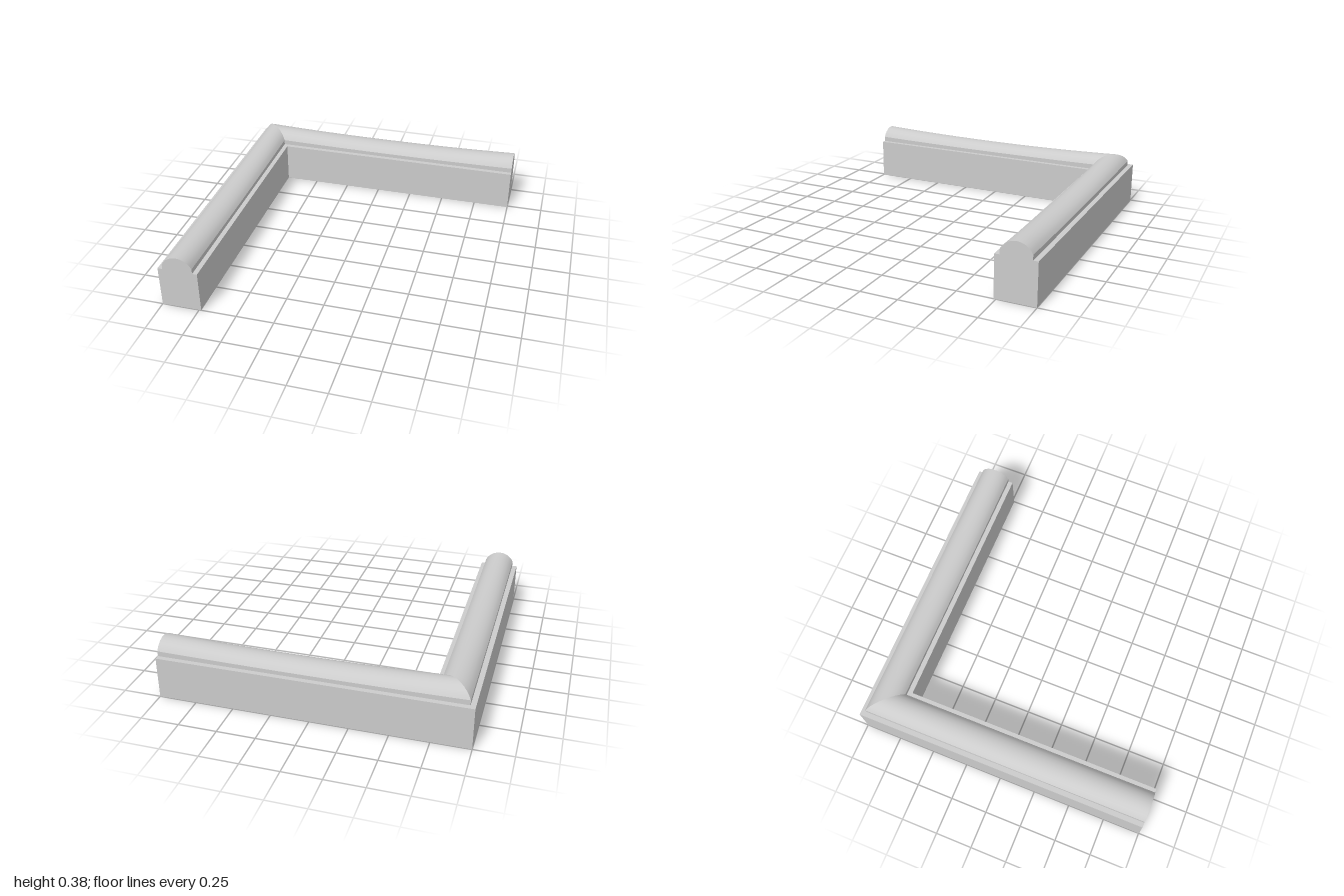
import * as THREE from 'three';
import { toCreasedNormals } from 'three/addons/utils/BufferGeometryUtils.js';

const BASE_HEIGHT = 0.28;
const INNER = -0.735;    // inner face of both base arms
const CENTRE = -0.867;   // centre line of the rounded cap
const HALF = 0.1;        // half width of the cap
const LIP = 0.034;       // upright edge below the dome
const RISE = 0.098;      // full height of the cap
const SAG = 0.22;        // share of the height lost at mid length

// Cap cross-section as [offset, height], from the outer to the inner side
function capProfile(steps = 10) {
  const h = RISE - LIP;
  const radius = (HALF * HALF + h * h) / (2 * h);
  const sweep = Math.asin(HALF / radius);
  const points = [[-HALF, 0]];
  for (let i = 0; i <= steps; i++) {
    const a = sweep * (2 * i / steps - 1);
    points.push([radius * Math.sin(a), RISE - radius + radius * Math.cos(a)]);
  }
  points.push([HALF, 0]);
  return points;
}

// One sagging cap arm, mitred at the corner; swapped = mirrored across the diagonal
function capArm(swapped) {
  const profile = capProfile();
  const n = profile.length, segments = 20;
  const positions = [], index = [];
  const tri = (a, b, c) => index.push(...(swapped ? [a, c, b] : [a, b, c]));

  for (let i = 0; i <= segments; i++) {
    const t = i / segments;
    const scale = 1 - SAG * 4 * t * (1 - t);
    for (const [offset, height] of profile) {
      const across = CENTRE + offset;
      const along = THREE.MathUtils.lerp(across, 1, t);
      const y = BASE_HEIGHT + height * scale;
      positions.push(...(swapped ? [across, y, along] : [along, y, across]));
    }
  }
  for (let i = 0; i < segments; i++) {
    for (let j = 0; j < n - 1; j++) {
      const a = i * n + j, b = a + n;
      tri(a, a + 1, b);
      tri(b, a + 1, b + 1);
    }
  }
  // Flat end face
  const end = segments * n;
  for (let j = 1; j < n - 1; j++) tri(end, end + j, end + j + 1);

  const geometry = new THREE.BufferGeometry();
  geometry.setAttribute('position', new THREE.Float32BufferAttribute(positions, 3));
  geometry.setIndex(index);
  return toCreasedNormals(geometry, 0.42);
}

export function createModel() {
  const group = new THREE.Group();
  group.name = 'cornerWall';
  const material = new THREE.MeshStandardMaterial({ color: 0xcccccc });
  const add = (name, geometry) => {
    const mesh = new THREE.Mesh(geometry, material);
    mesh.name = name;
    group.add(mesh);
  };

  // L-shaped base, drawn in plan and raised
  const plan = new THREE.Shape([
    [-1, -1], [INNER, -1], [INNER, -INNER], [1, -INNER], [1, 1], [-1, 1],
  ].map(([x, y]) => new THREE.Vector2(x, y)));
  const base = new THREE.ExtrudeGeometry(plan, { depth: BASE_HEIGHT, bevelEnabled: false });
  add('base', base.rotateX(-Math.PI / 2));

  // Rounded caps along the back and the side
  add('backCap', capArm(false));
  add('sideCap', capArm(true));
  return group;
}
